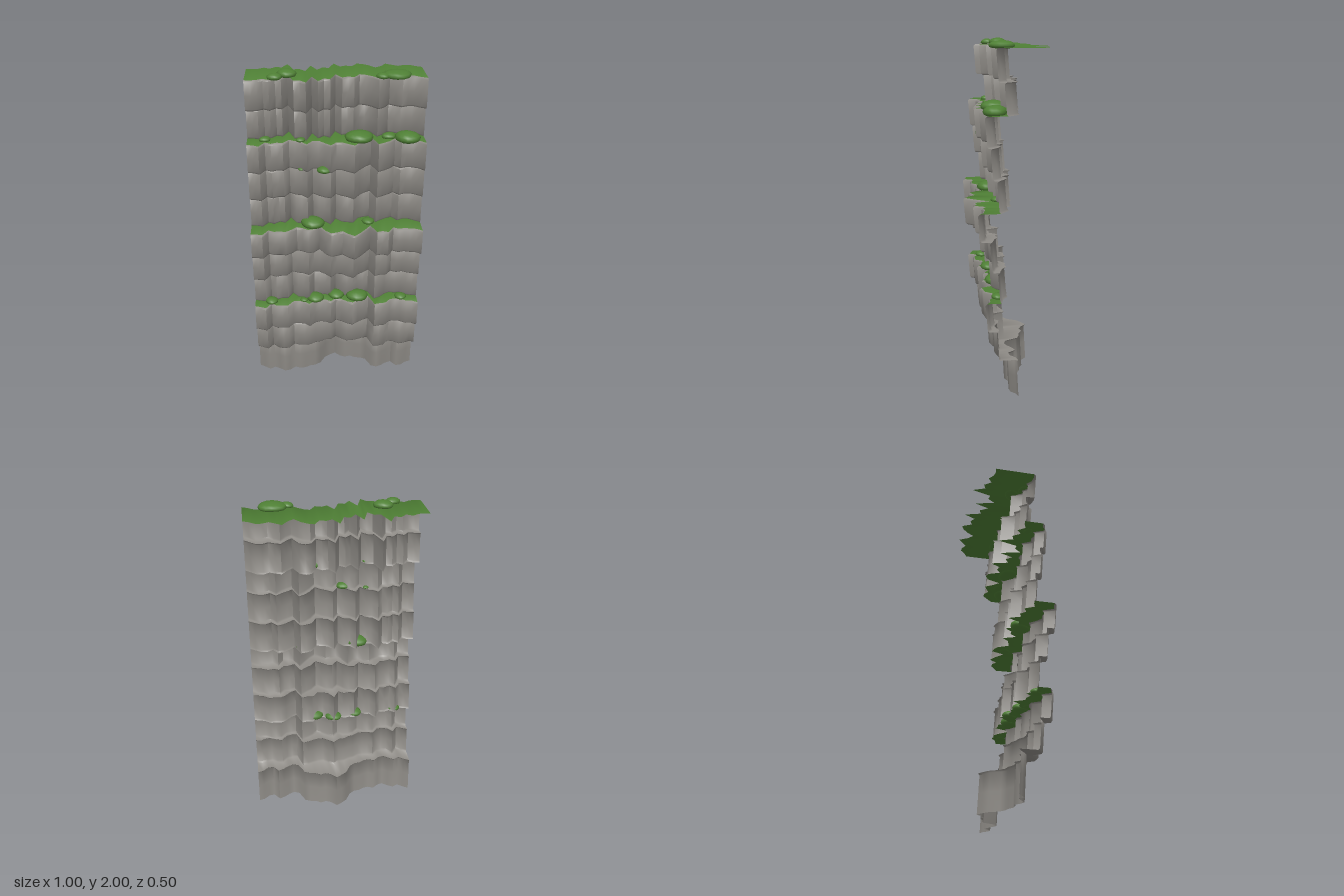
import * as THREE from 'three';
import { toCreasedNormals } from 'three/addons/utils/BufferGeometryUtils.js';

const COLS = 30;
// Band boundaries from the ground up, and how far forward each band stands
const LEVELS = [0, 0.23, 0.405, 0.575, 0.755, 0.93, 1.09, 1.27, 1.445, 1.615, 1.79, 1.965];
const FORWARD = [-0.015, 0.1, 0.15, 0.09, 0.14, 0.198, 0.09, 0.125, 0.152, 0.05, 0.097];
const MOSSY = [2, 5, 8, 10];

// Jagged reliefs across the width, relative to the cliff's ends
const UPPER = [0, 0.005, 0, -0.025, 0, -0.04, -0.025, -0.1, 0.02, 0.015, 0.06, -0.055, 0.035, -0.015, 0,
  -0.1, -0.03, -0.05, -0.035, -0.095, -0.08, -0.05, 0, -0.03, -0.085, -0.055, -0.03, -0.05, -0.05, -0.02, 0];
const LOWER = [0, 0.005, 0.015, -0.045, -0.025, -0.027, -0.02, -0.045, -0.08, -0.065, -0.04, -0.05, -0.09, -0.025, 0.01,
  0, -0.015, 0.025, 0.05, 0.015, -0.03, -0.08, 0.005, -0.005, 0.01, -0.05, -0.03, -0.04, -0.03, -0.025, 0];
const BASE = [0, 0.02, 0.045, 0.025, 0.045, 0.07, 0.06, 0.03, 0.045, 0.04, 0.02, 0.015, -0.01, -0.07, -0.095,
  -0.115, -0.08, -0.065, -0.075, -0.055, -0.05, -0.035, 0.04, 0.055, 0.04, 0.015, 0, 0.045, 0.04, 0.01, 0];
// Shares of the upper and base reliefs in each band (the rest is the lower relief)
const UPPER_SHARE = [0, 0.1, 0.2, 0.4, 0.25, 0, 0.55, 0.4, 0.3, 0.8, 1];
const BASE_SHARE = [1, 0.55, 0.3, 0.2, 0.1, 0, 0, 0, 0, 0, 0];

const hash = (a, b) => {
  const s = Math.sin(a * 127.1 + b * 311.7) * 43758.5453;
  return s - Math.floor(s);
};
const columnX = j => j / COLS - 0.5;

// Depth of a band's face at a column
function faceZ(band, j) {
  const u = UPPER_SHARE[band], b = BASE_SHARE[band], l = 1 - u - b;
  const mixed = Math.max(u, b, l) < 1;
  const relief = UPPER[j] * u + BASE[j] * b + LOWER[j] * l;
  const rough = mixed ? (hash(band, Math.floor(j / 2)) - 0.5) * 0.025 : 0;
  return FORWARD[band] + relief * (mixed ? 1.3 : 1) + rough;
}

const makeRow = (y, zAt) =>
  Array.from({ length: COLS + 1 }, (_, j) => new THREE.Vector3(columnX(j), y, zAt(j)));

// Rows of one rock band: chamfered foot, gently leaning face, chamfered brow
function bandRows(band) {
  const y0 = LEVELS[band], y1 = LEVELS[band + 1];
  return [
    makeRow(y0, j => faceZ(band, j) - (band ? 0.02 : 0.013)),
    makeRow(y0 + 0.01, j => faceZ(band, j) - 0.012),
    makeRow((y0 + y1) / 2, j => faceZ(band, j) - 0.006),
    makeRow(y1 - 0.01, j => faceZ(band, j)),
    makeRow(y1, j => faceZ(band, j) - 0.01),
  ];
}

// Continuous sheet through successive rows, softly shaded
function sheet(rows) {
  const pos = [], idx = [], n = COLS + 1;
  rows.forEach(row => row.forEach(p => pos.push(p.x, p.y, p.z)));
  for (let i = 0; i < rows.length - 1; i++) {
    for (let j = 0; j < COLS; j++) {
      const a = i * n + j, b = a + 1, c = b + n, d = a + n;
      idx.push(a, b, c, a, c, d);
    }
  }
  const g = new THREE.BufferGeometry();
  g.setAttribute('position', new THREE.Float32BufferAttribute(pos, 3));
  g.setIndex(idx);
  return toCreasedNormals(g, 1.2);
}

// Cut the strips between two rows out of a sheet, keeping its shading
function strips(whole, from, to) {
  const perStrip = COLS * 18;
  const g = new THREE.BufferGeometry();
  for (const key of ['position', 'normal']) {
    const part = whole.attributes[key].array.slice(from * perStrip, to * perStrip);
    g.setAttribute(key, new THREE.BufferAttribute(part, 3));
  }
  return g;
}

export function createModel() {
  const model = new THREE.Group();
  const rockMat = new THREE.MeshStandardMaterial({ color: 0x8f8c87, side: THREE.DoubleSide });
  const mossMat = new THREE.MeshStandardMaterial({ color: 0x4f8035, side: THREE.DoubleSide });
  const add = (name, geometry, material) => {
    const mesh = new THREE.Mesh(geometry, material);
    mesh.name = name;
    model.add(mesh);
    return mesh;
  };

  // Rock tiers, each ending in a mossy ledge; the last is the plateau with a ragged rear edge
  const rows = FORWARD.flatMap((_, b) => bandRows(b));
  rows.push(makeRow(1.965, j => UPPER[j] - 0.15));
  const whole = sheet(rows);
  let start = 0;
  for (const band of MOSSY) {
    const brow = band * 5 + 4;
    add('rockTier', strips(whole, start, brow), rockMat);
    add(band === 10 ? 'grassTop' : 'mossLedge', strips(whole, brow, brow + 1), mossMat);
    start = brow + 1;
  }

  // Bushes: [band whose top carries it, x, radius, z if not at the ledge]
  const bushes = [
    [10, -0.27, 0.056, 0], [10, -0.335, 0.042, 0.06], [10, 0.335, 0.08, 0.045], [10, 0.255, 0.038, 0.065],
    [8, -0.4, 0.034], [8, -0.2, 0.028], [8, 0.13, 0.082, 0.07], [8, 0.4, 0.075, 0.09], [8, 0.3, 0.042],
    [7, -0.07, 0.042], [7, -0.2, 0.018],
    [5, -0.14, 0.072], [5, 0.19, 0.038],
    [2, -0.4, 0.04], [2, -0.2, 0.025], [2, -0.13, 0.055], [2, 0, 0.052], [2, 0.13, 0.068], [2, 0.4, 0.038],
  ];
  // Domed, slightly lopsided clump
  const bushGeo = new THREE.SphereGeometry(1, 14, 8);
  const p = bushGeo.attributes.position;
  for (let i = 0; i < p.count; i++) {
    const bulge = 1 + 0.1 * Math.sin(3 * p.getX(i) + 1) * p.getZ(i);
    p.setXYZ(i, p.getX(i) * bulge, Math.max(p.getY(i), -0.6), p.getZ(i) * bulge);
  }
  bushGeo.computeVertexNormals();
  bushes.forEach(([band, x, r, z], i) => {
    const j = Math.round((x + 0.5) * COLS);
    const ledge = band < 10 ? (faceZ(band, j) + faceZ(band + 1, j)) / 2 : 0;
    const bush = add('bush', bushGeo, mossMat);
    const halfHeight = Math.min(r * 0.5, band < 10 ? 0.036 : 0.026);
    bush.position.set(x, LEVELS[band + 1] + halfHeight * 0.4, z ?? ledge);
    bush.scale.set(r, halfHeight, r * (0.8 + 0.15 * hash(i, 3)));
    bush.rotation.y = hash(i, 7) * 1.2 - 0.6;
  });

  return model;
}
